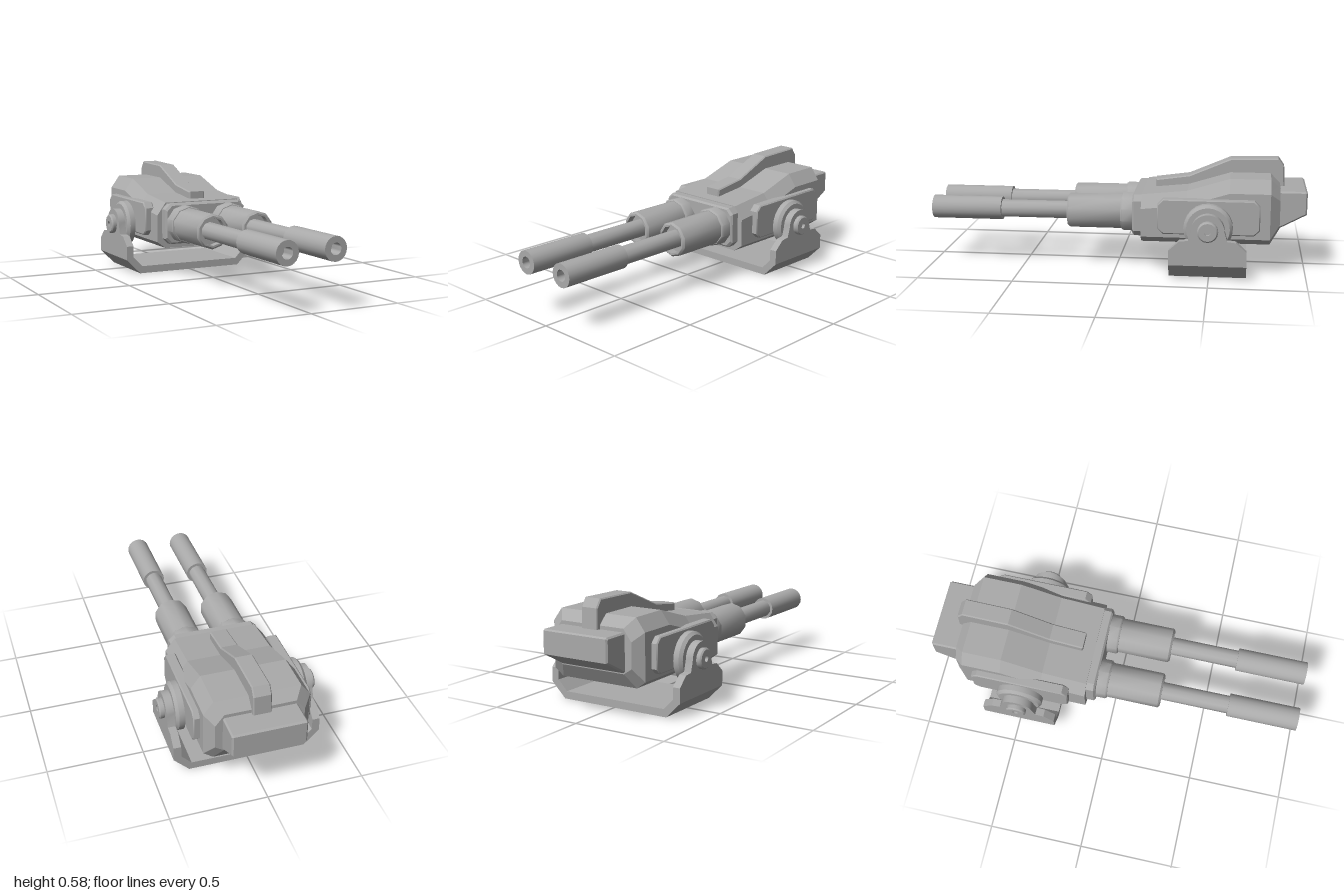
import * as THREE from 'three';
import { toCreasedNormals } from 'three/addons/utils/BufferGeometryUtils.js';

const SMOOTH = 0.7, FLAT = 0.05;
const metal = new THREE.MeshStandardMaterial({ color: 0xaaaaaa });
metal.name = 'grey metal';

function part(name, geometry, crease) {
  const mesh = new THREE.Mesh(toCreasedNormals(geometry, crease), metal);
  mesh.name = name;
  return mesh;
}

// Octagonal cross-section, counter-clockwise seen from the front
function octagon(z, hw, y0, y1, cx, cBottom, cTop) {
  return [
    [hw - cx, y0, z], [hw, y0 + cBottom, z], [hw, y1 - cTop, z], [hw - cx, y1, z],
    [cx - hw, y1, z], [-hw, y1 - cTop, z], [-hw, y0 + cBottom, z], [cx - hw, y0, z],
  ];
}

// Skin the cross-sections from front to back and close both ends
function loft(rings) {
  const n = rings[0].length, index = [];
  for (let r = 0; r < rings.length - 1; r++) {
    for (let i = 0; i < n; i++) {
      const a = r * n + i, b = r * n + (i + 1) % n;
      index.push(a, a + n, b + n, a, b + n, b);
    }
  }
  const last = (rings.length - 1) * n;
  for (let i = 1; i < n - 1; i++) {
    index.push(0, i, i + 1, last, last + i + 1, last + i);
  }
  const g = new THREE.BufferGeometry();
  g.setAttribute('position', new THREE.Float32BufferAttribute(rings.flat(2), 3));
  g.setIndex(index);
  return g;
}

function shapeOf(points) {
  return new THREE.Shape(points.map(p => new THREE.Vector2(p[0], p[1])));
}

// Extrude with a chamfer, keeping the outer size; the depth starts at z = 0
function slab(shape, depth, bevel) {
  const g = new THREE.ExtrudeGeometry(shape, {
    depth: depth - 2 * bevel, bevelEnabled: bevel > 0, bevelThickness: bevel,
    bevelSize: bevel, bevelOffset: -bevel, bevelSegments: 1, curveSegments: 8,
  });
  return g.translate(0, 0, bevel);
}

// Side profile given as [-z, y], extruded across x and centred
function sideProfile(points, width, bevel) {
  return slab(shapeOf(points), width, bevel).translate(0, 0, -width / 2).rotateY(Math.PI / 2);
}

function lathe(points, sides) {
  return new THREE.LatheGeometry(points.map(p => new THREE.Vector2(p[0], p[1])), sides);
}

// Twin gun barrel: collar, hollow-ended sleeve, tube and bored muzzle
function makeBarrel(x) {
  const g = new THREE.Group();
  g.name = 'barrel';
  g.add(part('collar', lathe([[0, -0.1], [0.105, -0.1], [0.105, -0.037], [0.098, -0.028], [0, -0.028]], 10), SMOOTH));
  g.add(part('sleeve', lathe([[0, -0.04], [0.094, -0.04], [0.094, 0.25], [0.084, 0.26],
    [0.074, 0.26], [0.074, 0.22], [0, 0.22]], 10), SMOOTH));
  g.add(part('tube', lathe([[0, 0.21], [0.048, 0.21], [0.048, 0.63], [0, 0.63]], 10), SMOOTH));
  g.add(part('muzzle', lathe([[0, 0.622], [0.062, 0.622], [0.062, 1], [0.03, 1], [0.03, 0.92], [0, 0.92]], 20), SMOOTH));
  g.children.forEach(m => m.geometry.rotateX(Math.PI / 2));
  g.position.set(x, 0.297, 0);
  return g;
}

// Side panel, pivot disc, bracket ear and axle cap for the +x side
function makeSide() {
  const g = new THREE.Group();
  g.name = 'sideMount';
  const panel = shapeOf([[-0.265, 0.25], [-0.235, 0.222], [0.235, 0.222], [0.265, 0.25],
    [0.265, 0.375], [0.235, 0.406], [-0.235, 0.406], [-0.265, 0.375]]);
  g.add(part('sidePanel', slab(panel, 0.055, 0.006).rotateY(Math.PI / 2).translate(0.25, 0, 0), SMOOTH));

  const disc = lathe([[0, 0.28], [0.07, 0.28], [0.07, 0.305], [0.127, 0.305], [0.127, 0.335],
    [0.112, 0.35], [0, 0.35]], 24);
  const cap = lathe([[0, 0.385], [0.054, 0.385], [0.054, 0.41], [0.047, 0.417], [0.016, 0.417],
    [0.016, 0.4], [0, 0.4]], 16);
  for (const [name, geo] of [['pivotDisc', disc], ['axleCap', cap]]) {
    g.add(part(name, geo.rotateZ(-Math.PI / 2).translate(0, 0.264, 0), SMOOTH));
  }

  const ear = new THREE.Shape();
  ear.moveTo(-0.2, 0.157);
  ear.lineTo(0.2, 0.157);
  ear.lineTo(0.145, 0.207);
  ear.lineTo(0.1, 0.212);
  ear.lineTo(0.085, 0.264);
  ear.absarc(0, 0.264, 0.085, 0, Math.PI, false);
  ear.lineTo(-0.1, 0.212);
  ear.lineTo(-0.145, 0.207);
  g.add(part('bracketEar', slab(ear, 0.04, 0).rotateY(Math.PI / 2).translate(0.35, 0, 0), 0.5));
  return g;
}

export function createModel() {
  const model = new THREE.Group();
  model.name = 'twinGunTurret';

  // Faceted housing, rising to the rear and tapered at the back
  const tops = [[-0.14, 0.412], [-0.38, 0.437], [-0.6, 0.505], [-0.81, 0.505]];
  const rings = tops.map(([z, y]) => octagon(z, 0.272, 0.16, y, 0.05, 0.036, 0.068));
  rings.push(octagon(-0.86, 0.228, 0.235, 0.455, 0.045, 0.03, 0.06));
  model.add(part('housing', loft(rings), FLAT));

  // Chamfered plate behind the barrels
  model.add(part('frontPlate', loft([
    octagon(-0.09, 0.234, 0.196, 0.399, 0.03, 0.03, 0.03),
    octagon(-0.1, 0.243, 0.187, 0.408, 0.03, 0.03, 0.03),
    octagon(-0.15, 0.243, 0.187, 0.408, 0.03, 0.03, 0.03),
  ]), FLAT));

  // Raised spine following the roof
  model.add(part('spine', sideProfile([[0.2, 0.4], [0.38, 0.41], [0.6, 0.48], [0.8, 0.48], [0.83, 0.42],
    [0.885, 0.42], [0.88, 0.54], [0.85, 0.583], [0.6, 0.577], [0.38, 0.483], [0.2, 0.458]], 0.094, 0.006), FLAT));

  // Wedge-shaped rear box
  model.add(part('rearBox', sideProfile([[0.82, 0.225], [0.86, 0.24], [1, 0.315], [1, 0.43],
    [0.99, 0.437], [0.82, 0.437]], 0.38, 0.008), FLAT));

  for (const s of [-1, 1]) model.add(makeBarrel(s * 0.133));

  // Side mounts, the second one turned half round
  for (const turn of [0, Math.PI]) {
    const side = makeSide();
    side.rotation.y = turn;
    side.position.z = -0.493;
    model.add(side);
  }

  // U-shaped base bracket
  const half = [[0.31, 0], [0.39, 0.08], [0.39, 0.157], [0.35, 0.157], [0.35, 0.095], [0.297, 0.04]];
  const outline = [...half, ...half.map(([x, y]) => [-x, y]).reverse()];
  model.add(part('baseBracket', slab(shapeOf(outline), 0.4, 0).translate(0, 0, -0.693), FLAT));

  return model;
}
